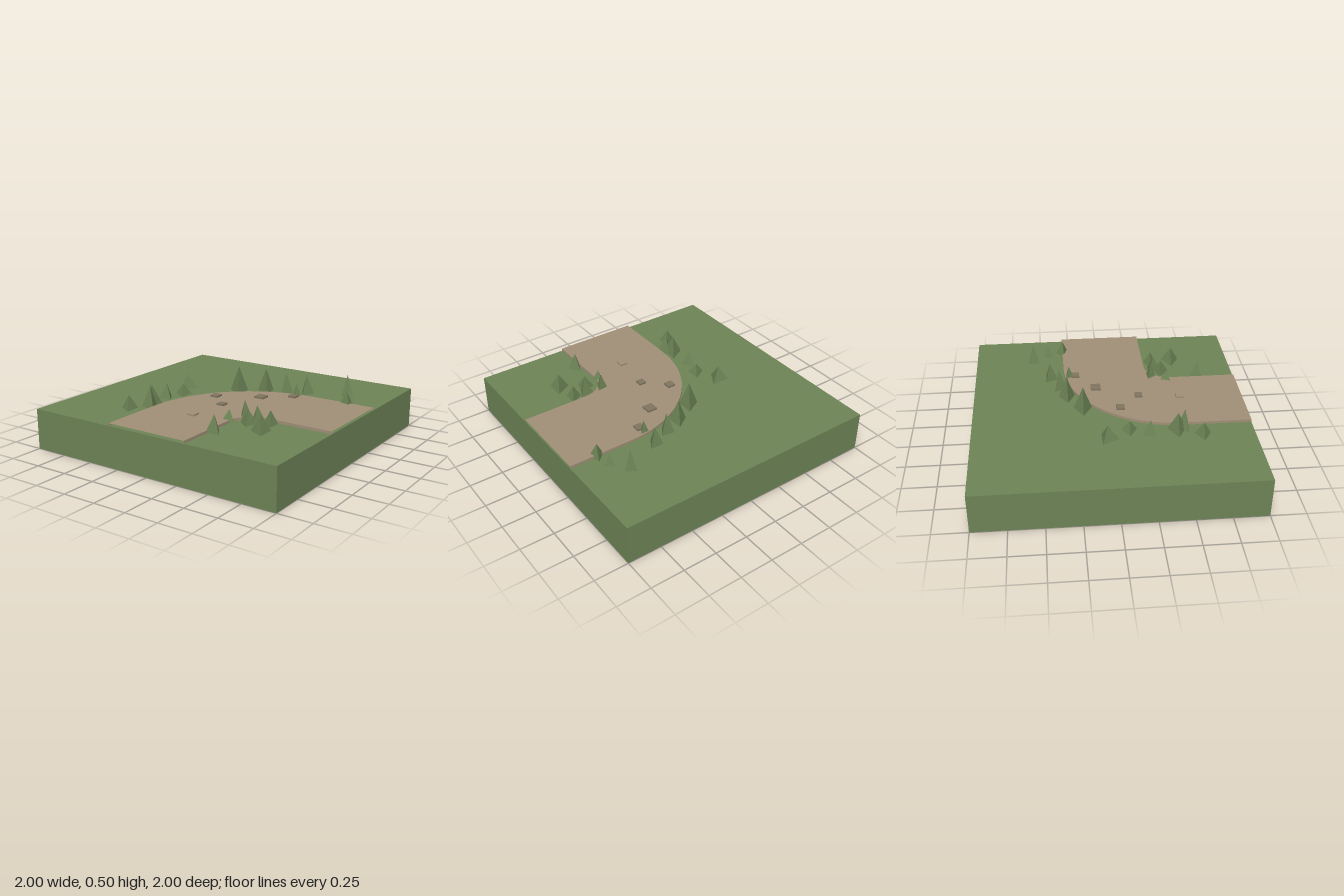
import * as THREE from 'three';

const GROUND = 0.3, ROAD = 0.32;

export function createModel() {
  const model = new THREE.Group();
  const mat = (name, color) => {
    const m = new THREE.MeshStandardMaterial({ color, side: THREE.DoubleSide });
    m.name = name;
    return m;
  };
  const grass = mat('grass green', 0x6e8456);
  const foliage = mat('foliage green', 0x6c8355);
  const dirt = mat('dirt tan', 0xa19078);
  const stone = mat('stone brown', 0x80755f);
  const add = (name, geometry, material, parent = model) => {
    const mesh = new THREE.Mesh(geometry, material);
    mesh.name = name;
    parent.add(mesh);
    return mesh;
  };

  // Ground block: top and four walls, open underneath
  const block = new THREE.BoxGeometry(2, GROUND, 2).toNonIndexed();
  const open = new THREE.BufferGeometry();
  for (const key of ['position', 'normal']) {
    const a = Array.from(block.attributes[key].array);
    a.splice(54, 18); // drop the bottom face
    open.setAttribute(key, new THREE.Float32BufferAttribute(a, 3));
  }
  open.translate(0, GROUND / 2, 0);
  add('groundBlock', open, grass);

  // Bend outlines: straight, quarter turn about (0.5, 0.5), straight
  const bend = (r) => {
    const pts = [[0.5 - r, 1]];
    for (let i = 0; i <= 24; i++) {
      const t = (i / 24) * Math.PI / 2;
      pts.push([0.5 - r * Math.cos(t), 0.5 - r * Math.sin(t)]);
    }
    pts.push([1, 0.5 - r]);
    return pts;
  };
  const outer = bend(0.816), inner = bend(0.184);

  // Strip of quads between two rows of points
  const strip = (a, b) => {
    const pos = [];
    for (let i = 0; i < a.length - 1; i++) {
      pos.push(...a[i], ...b[i], ...a[i + 1], ...b[i], ...b[i + 1], ...a[i + 1]);
    }
    const g = new THREE.BufferGeometry();
    g.setAttribute('position', new THREE.Float32BufferAttribute(pos, 3));
    g.computeVertexNormals();
    return g;
  };
  const at = (pts, y) => pts.map(([x, z]) => [x, y, z]);

  // Raised road: surface and two side walls, open at its ends
  const road = new THREE.Group();
  road.name = 'road';
  model.add(road);
  add('roadSurface', strip(at(outer, ROAD), at(inner, ROAD)), dirt, road);
  add('roadOuterEdge', strip(at(outer, GROUND), at(outer, ROAD)), dirt, road);
  add('roadInnerEdge', strip(at(inner, ROAD), at(inner, GROUND)), dirt, road);

  // Flat stones on the road: x, z, size, material
  const stones = [
    [0.395, -0.23, 0.06, stone], [0.205, -0.085, 0.075, stone],
    [-0.087, 0.077, 0.06, stone], [0.07, 0.227, 0.055, stone],
    [0.04, 0.533, 0.06, dirt],
  ];
  for (const [x, z, s, m] of stones) {
    add('roadStone', new THREE.BoxGeometry(s, 0.02, s), m).position.set(x, ROAD + 0.004, z);
  }

  // Three-sided trees: x, z, radius, tip height, turn in degrees
  const outerTrees = [
    [0.675, -0.548, 0.05, 0.46, 90], [0.757, -0.428, 0.045, 0.39, 74],
    [0.79, -0.313, 0.057, 0.41, 41], [0.395, -0.425, 0.058, 0.445, 0],
    [0.253, -0.358, 0.058, 0.46, -6], [0.39, -0.28, 0.042, 0.41, 0],
    [0.11, -0.305, 0.07, 0.48, 35], [-0.064, -0.195, 0.077, 0.495, -90],
    [-0.45, -0.045, 0.08, 0.415, 0], [-0.363, 0.115, 0.066, 0.385, -90],
    [-0.405, 0.26, 0.06, 0.415, 65], [-0.388, 0.455, 0.08, 0.45, -90],
    [-0.357, 0.508, 0.063, 0.46, 55], [-0.455, 0.628, 0.067, 0.405, -90],
  ];
  const innerTrees = [
    [0.347, 0.35, 0.052, 0.435, 6], [0.3, 0.468, 0.058, 0.39, 71],
    [0.468, 0.382, 0.06, 0.425, 5], [0.433, 0.441, 0.068, 0.405, -99],
    [0.57, 0.376, 0.06, 0.405, -90], [0.597, 0.542, 0.078, 0.425, -90],
    [0.352, 0.718, 0.06, 0.43, 65],
  ];
  for (const [name, list] of [['outerTrees', outerTrees], ['innerTrees', innerTrees]]) {
    const grove = new THREE.Group();
    grove.name = name;
    model.add(grove);
    for (const [x, z, r, top, turn] of list) {
      const h = top - GROUND;
      const cone = new THREE.ConeGeometry(r, h, 3, 1, true).toNonIndexed();
      cone.computeVertexNormals();
      const tree = add('tree', cone, foliage, grove);
      tree.position.set(x, GROUND + h / 2, z);
      tree.rotation.y = THREE.MathUtils.degToRad(turn);
    }
  }
  return model;
}
